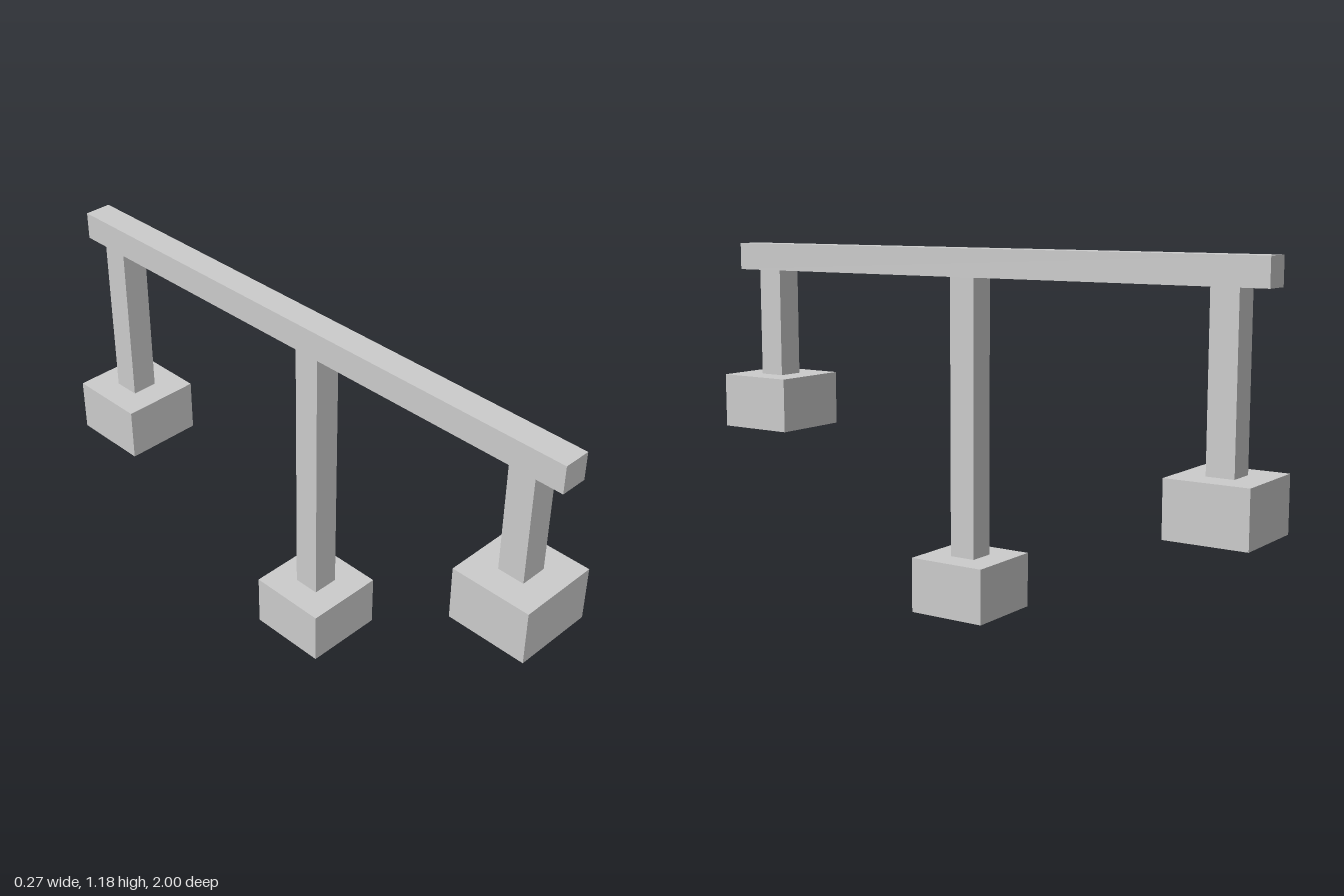
import * as THREE from 'three';

const U = 1 / 11; // modular unit: the beam is 22 units long

export function createModel() {
  const model = new THREE.Group();
  model.name = 'steppedFootingFrame';
  const material = new THREE.MeshStandardMaterial({ color: 0xcccccc, flatShading: true });

  // Box centred on x, resting on the given bottom height (all in units)
  function addBox(parent, name, width, height, depth, bottom, z) {
    const mesh = new THREE.Mesh(new THREE.BoxGeometry(width * U, height * U, depth * U), material);
    mesh.name = name;
    mesh.position.set(0, (bottom + height / 2) * U, z * U);
    parent.add(mesh);
  }

  // Top beam running front to back
  const beamBottom = 12;
  addBox(model, 'beam', 1, 1, 22, beamBottom, 0);

  // Posts on block footings at three different levels
  const supports = [
    { name: 'front', z: 9.5, base: 6 },
    { name: 'middle', z: 0.5, base: 0 },
    { name: 'back', z: -9.5, base: 4 },
  ];
  for (const { name, z, base } of supports) {
    const support = new THREE.Group();
    support.name = name + 'Support';
    addBox(support, name + 'Footing', 3, 2, 3, base, z);
    addBox(support, name + 'Post', 1, beamBottom - base - 2, 1, base + 2, z);
    model.add(support);
  }
  return model;
}
